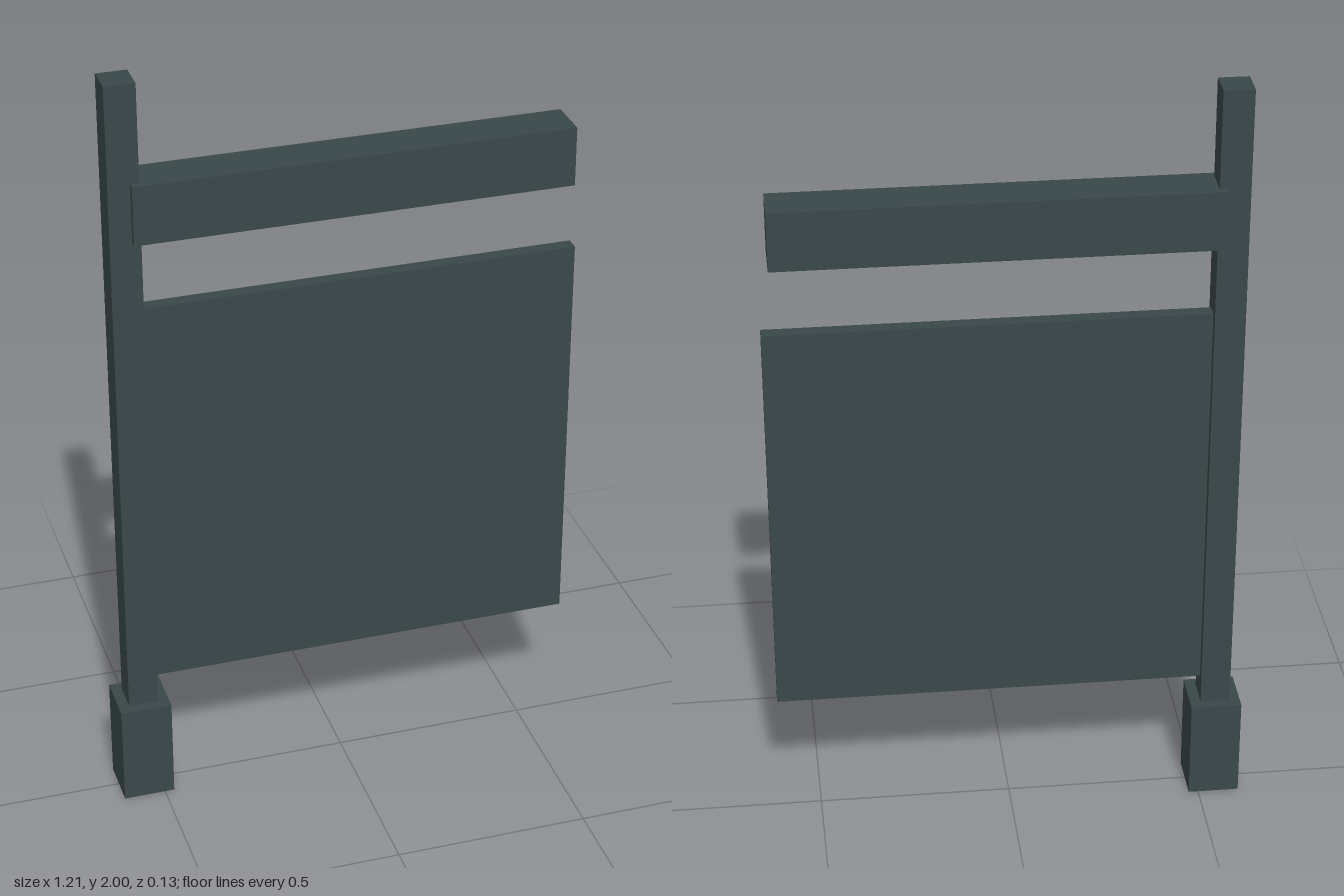
import * as THREE from 'three';

export function createModel() {
  const group = new THREE.Group();
  const darkSlate = new THREE.MeshStandardMaterial({ color: 0x3a4849 });
  darkSlate.name = 'darkSlate';

  // Box given by its x and y limits and its depth about z = 0
  const addBox = (name, x0, x1, y0, y1, depth) => {
    const mesh = new THREE.Mesh(new THREE.BoxGeometry(x1 - x0, y1 - y0, depth), darkSlate);
    mesh.position.set((x0 + x1) / 2, (y0 + y1) / 2, 0);
    mesh.name = name;
    group.add(mesh);
  };

  // Footing block and the tall post standing in it
  addBox('footing', -0.607, -0.475, 0, 0.27, 0.134);
  addBox('post', -0.58, -0.503, 0.02, 2, 0.08);

  // Arm reaching out from the post, wrapping its near side
  addBox('crossArm', -0.525, 0.582, 1.592, 1.746, 0.114);

  // Thin sign board fixed to the side of the post
  addBox('signBoard', -0.505, 0.605, 0.337, 1.402, 0.036);

  return group;
}
